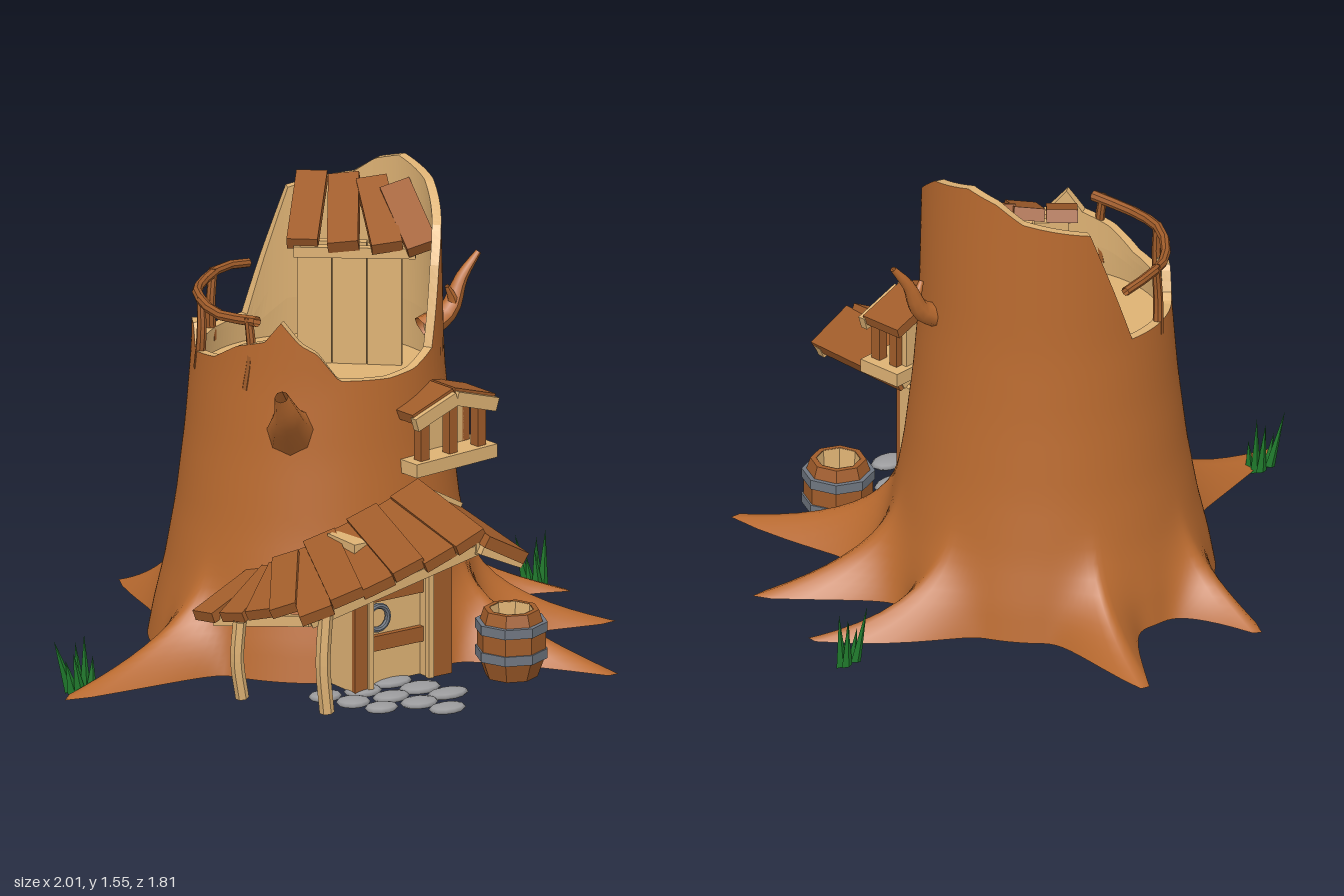
import * as THREE from 'three';

const mat = (color, flatShading = false) =>
  new THREE.MeshStandardMaterial({ color, flatShading, side: THREE.DoubleSide });
const BARK = mat(0xb96a2f), PLANK = mat(0xa05c2a, true), TAN = mat(0xdeb274, true),
  IRON = mat(0x6f7680, true), STONE = mat(0x9a9a9c), GRASS = mat(0x1f7a2c, true);
const V = (x, y, z) => new THREE.Vector3(x, y, z);
const lerp = THREE.MathUtils.lerp;
const CX = 0.075, CZ = -0.05, BASE = 0.04, FLOOR = 0.92, TAU = Math.PI * 2;

// piecewise linear lookup in [key, value] pairs
function lookup(table, k) {
  for (let i = 1; i < table.length; i++) {
    const [k0, v0] = table[i - 1], [k1, v1] = table[i];
    if (k <= k1) return lerp(v0, v1, Math.max(0, (k - k0) / (k1 - k0)));
  }
  return table[table.length - 1][1];
}
const PROFILE = [[0.04, 0.545], [0.15, 0.525], [0.3, 0.49], [0.5, 0.455], [0.75, 0.425], [1, 0.405], [1.5, 0.395]];
const RIM = [[0, 1], [15, 1.01], [30, 1.05], [42, 1.3], [51, 1.41], [75, 1.52], [100, 1.56], [115, 1.53],
  [128, 1.47], [160, 1.42], [172, 1.2], [182, 1.01], [225, 1], [230, 1.02], [235, 1.1], [245, 1.1], [250, 1.02],
  [270, 1.04], [285, 1.1], [300, 1.13], [308, 1.2], [317, 1.13], [325, 1.1], [335, 1.01], [360, 1]];

// roots: direction where they leave the trunk, bend towards the tip, length
const ROOTS = [[-0.62, 0.02, -1, 0.07], [-0.15, -0.62, -0.13, -0.86], [0.31, -0.6, 0.4, -0.9],
  [0.65, -0.14, 0.98, 0.06], [0.62, 0.24, 0.92, 0.41], [0.5, 0.55, 0.6, 0.87]].map(([mx, mz, tx, tz]) => {
  const angle = Math.atan2(mx - CX, mz - CZ);
  return { angle, bend: wrap(Math.atan2(tx - CX, tz - CZ) - angle), length: Math.hypot(tx - CX, tz - CZ) - 0.545 };
});
function wrap(a) {
  return Math.atan2(Math.sin(a), Math.cos(a));
}

// point on the trunk, drawn out into roots near the ground
function onTrunk(a, y, inset = 0) {
  const fade = Math.max(0, (0.5 - y) / 0.46) ** 4;
  let r = lookup(PROFILE, y) - inset, turn = 0;
  for (const root of ROOTS) {
    const d = Math.max(0, Math.abs(wrap(a - root.angle)) - 0.018);
    const pull = fade * Math.max(0, 1 - d / 0.33) ** 2.5;
    r += root.length * pull;
    turn += root.bend * pull;
  }
  return V(CX + Math.sin(a + turn) * r, y, CZ + Math.cos(a + turn) * r);
}
const rimAt = u => lookup(RIM, ((u % 1) + 1) % 1 * 360);

// surface of closed loops f(u, v), leaving out the quads where hole(u, v) holds
function loops(f, nu, nv, hole = () => false) {
  const pos = [], idx = [];
  for (let j = 0; j <= nv; j++) for (let i = 0; i < nu; i++) pos.push(...f(i / nu, j / nv).toArray());
  for (let j = 0; j < nv; j++) for (let i = 0; i < nu; i++) {
    if (hole((i + 0.5) / nu, (j + 0.5) / nv)) continue;
    const a = j * nu + i, b = j * nu + (i + 1) % nu;
    idx.push(a, b, b + nu, a, b + nu, a + nu);
  }
  const g = new THREE.BufferGeometry();
  g.setAttribute('position', new THREE.Float32BufferAttribute(pos, 3));
  g.setIndex(idx);
  g.computeVertexNormals();
  return g;
}

export function createModel() {
  const model = new THREE.Group();
  const add = (name, geo, material, parent = model) => {
    const m = new THREE.Mesh(geo, material);
    m.name = name;
    parent.add(m);
    return m;
  };
  const group = name => {
    const g = new THREE.Group();
    g.name = name;
    model.add(g);
    return g;
  };
  const box = (name, w, h, d, x, y, z, material, parent) => {
    const m = add(name, new THREE.BoxGeometry(w, h, d), material, parent);
    m.position.set(x, y, z);
    return m;
  };
  // board from a to b, its width lying along the hint direction
  const board = (name, a, b, w, t, hint, material, parent) => {
    const m = add(name, new THREE.BoxGeometry(w, t, a.distanceTo(b)), material, parent);
    const z = b.clone().sub(a).normalize();
    const y = z.clone().cross(hint).normalize();
    m.quaternion.setFromRotationMatrix(new THREE.Matrix4().makeBasis(y.clone().cross(z), y, z));
    m.position.copy(a).add(b).multiplyScalar(0.5);
  };
  // tube that narrows from r0 to r1
  const taper = (name, pts, r0, r1, material, parent, sides = 8) => {
    const curve = new THREE.CatmullRomCurve3(pts), n = 10;
    const g = new THREE.TubeGeometry(curve, n, r0, sides), p = g.attributes.position, v = V(0, 0, 0);
    for (let i = 0; i < p.count; i++) {
      const t = Math.floor(i / (sides + 1)) / n, c = curve.getPointAt(t);
      v.fromBufferAttribute(p, i).sub(c).multiplyScalar(lerp(1, r1 / r0, t)).add(c);
      p.setXYZ(i, v.x, v.y, v.z);
    }
    g.computeVertexNormals();
    add(name, g, material, parent);
  };

  // hollow trunk with roots, a doorway opening and a broken rim
  const trunk = group('trunk'), N = 180;
  add('bark', loops((u, v) => onTrunk(u * TAU, lerp(BASE, rimAt(u), v ** 1.6)), N, 26,
    (u, v) => v < 16 / 26 && u > 336 / 360 && u < 359.9 / 360), BARK, trunk);
  add('innerWall', loops((u, v) => onTrunk(-u * TAU, lerp(FLOOR, rimAt(-u), v), 0.03), N, 4), TAN, trunk);
  add('rim', loops((u, v) => onTrunk(u * TAU, rimAt(u), 0.03 * v), N, 1), TAN, trunk);
  add('upperFloor', loops((u, v) => onTrunk(u * TAU, FLOOR, lerp(0.03, 0.411, v)), N, 1), TAN, trunk);

  // branch stubs
  taper('rightBranch', [V(-0.2, 0.83, 0.2), V(-0.27, 0.89, 0.28), V(-0.31, 0.94, 0.33), V(-0.36, 1.02, 0.37)], 0.085, 0.022, BARK);
  taper('leftBranch', [V(0.42, 1.02, 0.05), V(0.51, 1.07, 0.06), V(0.56, 1.17, 0.06), V(0.62, 1.25, 0.07)], 0.045, 0.01, BARK);
  taper('leftBranchTwig', [V(0.51, 1.06, 0.06), V(0.52, 1.1, 0.07), V(0.49, 1.16, 0.08)], 0.025, 0.008, BARK);

  // handrail along the low rim
  const rail = group('handrail');
  const railPt = (deg, y) => onTrunk(deg * Math.PI / 180, y, 0.015);
  taper('rail', [295, 270, 245, 220, 197, 180].map((d, i) => railPt(d, 1.19 - 0.012 * (i % 2))), 0.018, 0.015, PLANK, rail);
  for (const d of [290, 250, 205]) taper('railPost', [railPt(d, 0.96), railPt(d + 2, 1.08), railPt(d, 1.2)], 0.018, 0.014, PLANK, rail);

  // lookout shelter on the upper floor
  const shelter = group('shelter');
  const high = [[0.25, -0.33], [0.32, -0.25], [0.37, -0.17], [0.4, -0.08]];
  const low = [[0.05, -0.1], [0.14, 0], [0.25, 0.09], [0.34, 0.16]];
  high.forEach(([x, z], i) => board('shelterRoofPlank', V(x, 1.47, z), V(low[i][0], 1.335, low[i][1]),
    0.1, 0.042, V(1, i % 2 ? 0.12 : 0, 0.9), PLANK, shelter));
  board('shelterBeam', V(0.03, 1.31, -0.12), V(0.34, 1.31, 0.12), 0.03, 0.035, V(1, 0, -1), TAN, shelter);
  for (let i = 0; i < 3; i++) {
    const m = box('shelterWallPlank', 0.11, 0.42, 0.03, 0.12 + 0.085 * i, 1.12, -0.13 + 0.075 * i, TAN, shelter);
    m.rotation.y = -0.72;
  }

  // bay window with gabled hood
  const bay = group('bayWindow');
  bay.position.set(0.27, 0, 0.36);
  bay.rotation.y = 0.1;
  box('sill', 0.34, 0.045, 0.16, 0, 0.705, 0, TAN, bay);
  box('windowBack', 0.24, 0.2, 0.05, -0.01, 0.8, -0.04, TAN, bay);
  for (const x of [-0.12, 0, 0.12]) box('windowPost', 0.035, x ? 0.16 : 0.2, 0.035, x, x ? 0.8 : 0.82, 0.045, PLANK, bay);
  for (const s of [-1, 1]) {
    board('hood', V(0, 0.93, -0.01), V(s * 0.17, 0.875, -0.01), 0.15, 0.035, V(0, 0, 1), PLANK, bay);
    board('hoodTrim', V(0, 0.915, 0.07), V(s * 0.17, 0.86, 0.07), 0.025, 0.045, V(0, 0, 1), TAN, bay);
    box('windowSidePost', 0.03, 0.16, 0.03, s * 0.12, 0.8, -0.03, PLANK, bay);
  }

  // doorway
  const door = group('doorway');
  box('doorPanel', 0.24, 0.46, 0.05, -0.025, 0.27, 0.475, TAN, door);
  for (const y of [0.18, 0.345]) box('doorBar', 0.24, 0.05, 0.09, -0.025, y, 0.475, PLANK, door);
  const ring = add('doorKnocker', new THREE.TorusGeometry(0.04, 0.01, 8, 16), IRON, door);
  ring.position.set(-0.085, 0.265, 0.515);
  for (const [x, w] of [[-0.17, 0.06], [0.135, 0.09]]) {
    box('jamb', w, 0.46, 0.12, x, 0.27, 0.475, TAN, door);
    box('jambFront', w, 0.46, 0.02, x, 0.27, 0.542, PLANK, door);
  }
  for (const x of [-0.14, 0.095]) box('jambTrim', 0.02, 0.46, 0.02, x, 0.27, 0.548, TAN, door);
  box('lintel', 0.36, 0.05, 0.15, -0.02, 0.515, 0.475, TAN, door);

  // porch roof: long right slope, short left slope, fan around the trunk
  const porch = group('porch');
  for (let i = 0; i < 6; i++) {
    const f = i / 5, lift = i % 2 ? 0.008 : -0.004;
    board('porchPlank', V(lerp(-0.27, 0.07, f), lerp(0.47, 0.635, f) + lift, lerp(0.34, 0.45, f)),
      V(lerp(-0.43, 0.04, f), lerp(0.38, 0.58, f) + lift, lerp(0.67, 0.86, f)), 0.11, 0.038, V(1, 0.45, 0.35), PLANK, porch);
  }
  board('porchLeftPlank', V(0.185, 0.59, 0.45), V(0.15, 0.55, 0.9), 0.17, 0.04, V(1, -0.55, 0), PLANK, porch);
  board('porchRidge', V(0.11, 0.6, 0.42), V(0.08, 0.56, 0.86), 0.04, 0.04, V(1, 0, 0), TAN, porch);
  board('rightFascia', V(-0.43, 0.345, 0.63), V(0.07, 0.555, 0.84), 0.03, 0.035, V(0, 0, 1), TAN, porch);
  board('leftFascia', V(0.07, 0.565, 0.87), V(0.22, 0.495, 0.88), 0.03, 0.04, V(0, 0, 1), TAN, porch);
  board('leftWallTrim', V(0.09, 0.65, 0.47), V(0.25, 0.56, 0.47), 0.05, 0.05, V(0, 0, 1), TAN, porch);
  const fan = [[0.2, 0.25, 0.38], [0.26, 0.36, 0.4], [0.31, 0.46, 0.43], [0.33, 0.55, 0.46]];
  fan.forEach(([zi, zo, y], i) => board('fanPlank', V(-0.31, y, zi), V(-0.58 + 0.035 * i, y - 0.09, zo),
    0.09, 0.036, V(0.4, 0.2, 1), PLANK, porch));
  board('fanBeam', V(-0.54, 0.275, 0.26), V(-0.42, 0.345, 0.62), 0.03, 0.035, V(1, 0, 0), TAN, porch);
  taper('outerPost', [V(-0.52, 0.04, 0.38), V(-0.54, 0.17, 0.38), V(-0.53, 0.3, 0.38)], 0.022, 0.022, TAN, porch, 6);
  taper('innerPost', [V(-0.385, 0.04, 0.66), V(-0.4, 0.2, 0.66), V(-0.39, 0.37, 0.66)], 0.024, 0.024, TAN, porch, 6);

  // barrel
  const barrel = group('barrel');
  barrel.position.set(0.35, 0, 0.64);
  const lathe = pts => new THREE.LatheGeometry(pts.map(p => new THREE.Vector2(...p)), 8);
  add('staves', lathe([[0, 0.025], [0.085, 0.025], [0.112, 0.1], [0.112, 0.18], [0.09, 0.25], [0.07, 0.25]]), PLANK, barrel);
  add('barrelInside', lathe([[0.072, 0.251], [0.065, 0.14], [0, 0.14]]), TAN, barrel);
  for (const y of [0.105, 0.195]) add('hoop', lathe([[0.1, y - 0.016], [0.118, y - 0.016], [0.118, y + 0.016], [0.1, y + 0.016]]), IRON, barrel);

  // stepping stones
  const stones = group('steppingStones');
  for (let r = 0; r < 4; r++) for (let c = 0; c < 3; c++) {
    if (r === 3 && c !== 1) continue;
    const k = r * 3 + c;
    const s = add('stone', new THREE.SphereGeometry(1, 12, 6), STONE, stones);
    s.scale.set(0.058 + 0.008 * (k % 3), 0.016, 0.046 + 0.006 * (k % 2));
    s.position.set(-0.28 + c * 0.13 + r * 0.04, 0.034, 0.5 + r * 0.1 + (c % 2) * 0.025);
  }

  // grass tufts
  for (const [x, z, y, n] of [[-0.9, 0, 0.03, 6], [0.955, -0.1, 0.01, 5]]) {
    const tuft = group('grassTuft');
    for (let i = 0; i < n; i++) {
      const h = 0.19 - 0.025 * ((i * 3) % 4), px = x + (i - n / 2 + 0.5) * 0.02;
      const blade = add('grassBlade', new THREE.ConeGeometry(0.022, h, 4), GRASS, tuft);
      blade.scale.z = 0.4;
      blade.position.set(px, y + h / 2, z + 0.012 * (i % 3 - 1));
      blade.rotation.z = (x - px) * 4 + (x < 0 ? 0.15 : 0.1);
    }
  }
  return model;
}
